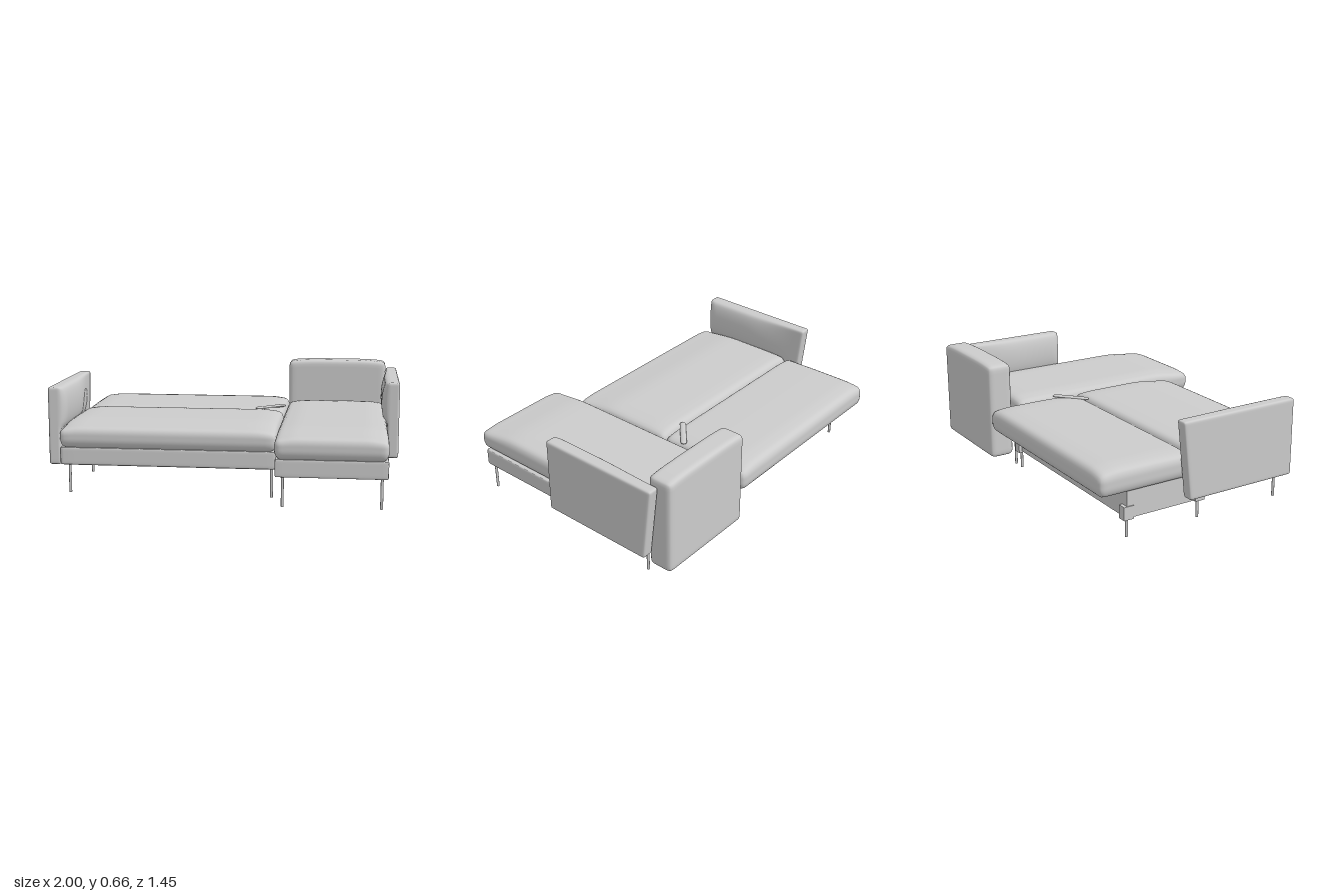
import * as THREE from 'three';
import { mergeVertices } from 'three/addons/utils/BufferGeometryUtils.js';

const mat = new THREE.MeshStandardMaterial({ color: 0xcccccc });
const { smoothstep, clamp } = THREE.MathUtils;

// Soft box between two corners, with a corner radius per axis and an optional vertex rule.
// Grid lines crowd toward the edges so the rounding stays smooth.
function softBox(name, min, max, radii, rule, seg = 22) {
  const half = min.map((m, i) => (max[i] - m) / 2);
  const mid = min.map((m, i) => (max[i] + m) / 2);
  const geo = new THREE.BoxGeometry(2, 2, 2, seg, seg, seg);
  const pos = geo.attributes.position;
  const v = new THREE.Vector3();
  for (let i = 0; i < pos.count; i++) {
    const p = [pos.getX(i), pos.getY(i), pos.getZ(i)].map((u, k) => Math.sin(u * Math.PI / 2) * half[k]);
    const inner = p.map((c, k) => clamp(c, radii[k] - half[k], half[k] - radii[k]));
    v.set(...p.map((c, k) => (c - inner[k]) / radii[k])).normalize();
    v.set(mid[0] + inner[0] + v.x * radii[0], mid[1] + inner[1] + v.y * radii[1], mid[2] + inner[2] + v.z * radii[2]);
    if (rule) rule(v);
    pos.setXYZ(i, v.x, v.y, v.z);
  }
  geo.deleteAttribute('uv');
  geo.deleteAttribute('normal');
  const smooth = mergeVertices(geo, 1e-5);
  smooth.computeVertexNormals();
  const mesh = new THREE.Mesh(smooth, mat);
  mesh.name = name;
  return mesh;
}

// Seat cushion: flat middle, top easing down near selected edges
function cushion(name, min, max, frontDrop, backDrop) {
  return softBox(name, min, max, [0.035, 0.06, 0.04], v => {
    const up = clamp((v.y - min[1]) / (max[1] - min[1]), 0, 1);
    const front = smoothstep(v.z, max[2] - 0.28, max[2]) * frontDrop;
    const back = smoothstep(-v.z, -min[2] - 0.12, -min[2]) * backDrop;
    const edge = Math.min(v.x - min[0], max[0] - v.x);
    const side = (1 - smoothstep(edge, 0, 0.12)) * 0.012;
    v.y -= up * up * (front + back + side);
  }, 28);
}

// Arm panel: leaning rear edge and a padded inner face that swells toward the front
function arm(name, side, zBack) {
  const zFront = zBack + 0.745;
  const mesh = softBox(name, [0.932, 0.165, zBack], [1, 0.613, zFront], [0.014, 0.014, 0.014], v => {
    const s = (v.z - zBack) / (zFront - zBack);
    const inward = clamp((1 - v.x) / 0.068, 0, 1);
    const along = smoothstep(s, 0, 0.55) * Math.sqrt(clamp((1 - s) / 0.06, 0, 1));
    const height = Math.sqrt(clamp(1 - ((v.y - 0.49) / 0.122) ** 2, 0, 1));
    v.z += (1 - s) * 0.05 * (0.613 - v.y) / 0.448;
    v.x -= inward * along * height * 0.036;
    v.x *= side;
  }, 30);
  if (side < 0) {
    // Mirroring turns the faces over, so flip the winding
    const idx = mesh.geometry.index;
    for (let i = 0; i < idx.count; i += 3) {
      const a = idx.getX(i);
      idx.setX(i, idx.getX(i + 1));
      idx.setX(i + 1, a);
    }
    mesh.geometry.computeVertexNormals();
  }
  return mesh;
}

function box(name, min, max) {
  const mesh = new THREE.Mesh(new THREE.BoxGeometry(...min.map((m, i) => max[i] - m)), mat);
  mesh.position.set(...min.map((m, i) => (max[i] + m) / 2));
  mesh.name = name;
  return mesh;
}

export function createModel() {
  const group = new THREE.Group();
  const small = [0.012, 0.012, 0.012];

  // Sofa bed section: front seat, folded-down rear half, frame and storage box
  group.add(
    cushion('frontSeatCushion', [-0.93, 0.27, -0.152], [0.308, 0.415, 0.53], 0.025, 0.006),
    cushion('foldedBackCushion', [-0.93, 0.262, -0.728], [0.308, 0.413, -0.152], 0.005, 0.01),
    softBox('seatFrame', [-0.932, 0.167, -0.15], [0.308, 0.272, 0.5], small, null, 12),
    box('storageBox', [-0.905, 0.112, -0.55], [0.3, 0.27, -0.05]),
  );

  // Chaise section
  group.add(
    cushion('chaiseCushion', [0.31, 0.27, -0.53], [0.93, 0.418, 0.725], 0.025, 0.006),
    softBox('chaiseFrame', [0.312, 0.167, -0.58], [0.93, 0.272, 0.69], small, null, 12),
    softBox('chaiseBackrest', [0.31, 0.083, -0.726], [0.93, 0.662, -0.577], [0.025, 0.025, 0.035], v => {
      // Slightly domed upper edge
      if (v.y > 0.4) v.y -= 0.012 * Math.abs((v.x - 0.62) / 0.31) ** 4;
    }),
  );

  // Arms
  group.add(arm('leftArm', 1, -0.652), arm('rightArm', -1, -0.26));

  // Fabric fold across the inner corner of the rear cushion
  const fold = new THREE.Mesh(new THREE.CapsuleGeometry(0.018, 0.19, 6, 12), mat);
  fold.name = 'fabricFold';
  fold.geometry.rotateZ(Math.PI / 2);
  fold.scale.y = 0.5;
  fold.rotation.y = Math.atan2(0.14, 0.16);
  fold.position.set(0.22, 0.408, -0.225);
  group.add(fold);

  // Legs, with mounting blocks where they meet the storage box
  const legs = [[0.355, 0.66], [0.895, 0.66], [0.355, -0.54], [0.895, -0.54]];
  for (const x of [-0.885, 0.28]) for (const z of [0.46, -0.08, -0.54]) legs.push([x, z]);
  const legGeo = new THREE.CylinderGeometry(0.008, 0.008, 0.175, 16);
  for (const [x, z] of legs) {
    const leg = new THREE.Mesh(legGeo, mat);
    leg.name = 'leg';
    leg.position.set(x, 0.0875, z);
    group.add(leg);
    if (z < 0 && x < 0.3) group.add(box('legBlock', [x - 0.025, 0.104, z - 0.03], [x + 0.025, 0.18, z + 0.03]));
  }
  return group;
}
